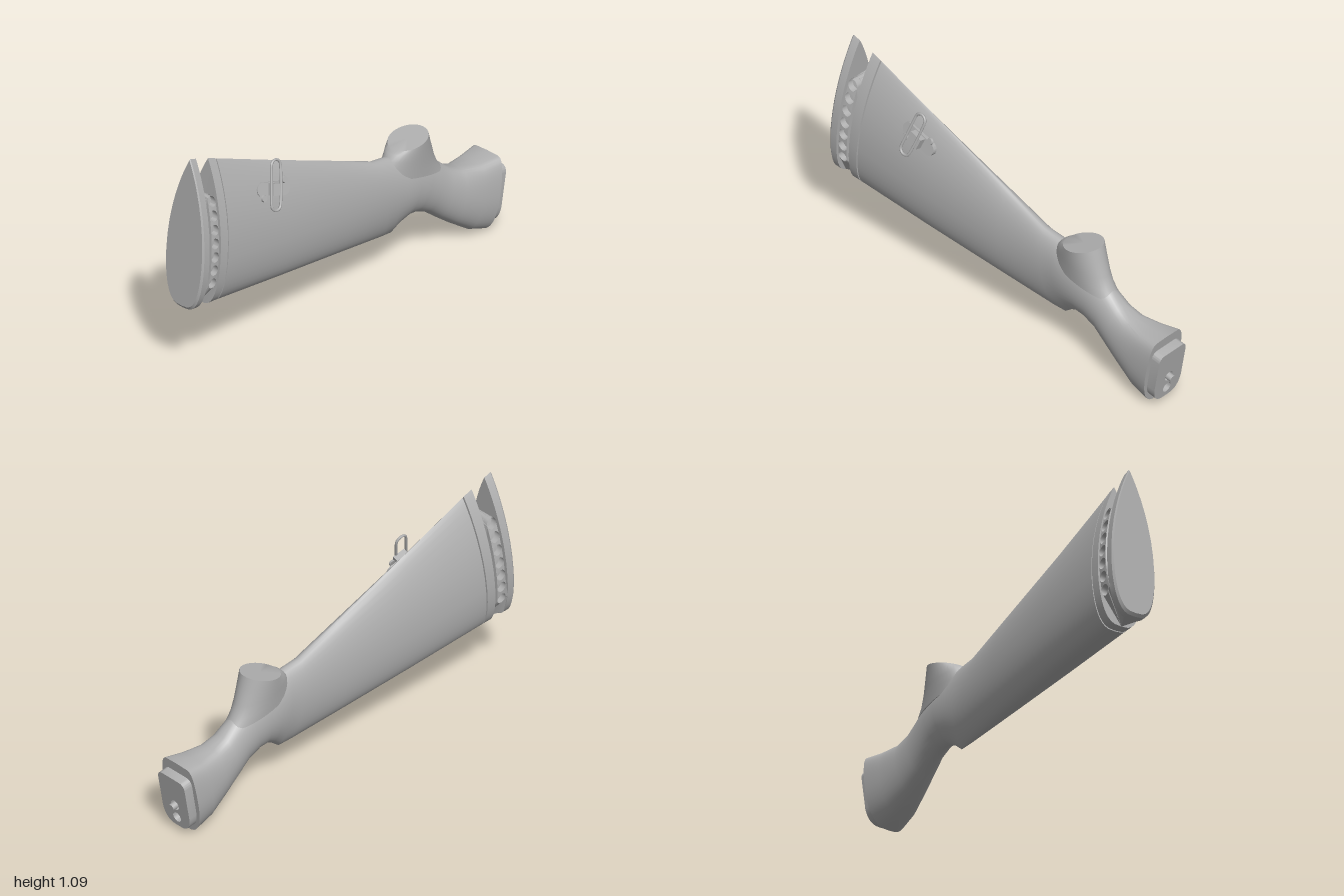
import * as THREE from 'three';
import { toCreasedNormals } from 'three/addons/utils/BufferGeometryUtils.js';

const CX = -0.012; // mid-plane of the stock
const N = 40;      // points around a section
const angle = (i) => -Math.PI / 2 + (i / N) * Math.PI * 2;
const lerp = THREE.MathUtils.lerp;

// Section: [topZ, topY, bottomZ, bottomY, halfWidth, height of widest point 0..1, upper exponent, lower exponent]
function sectionPoint(s, th) {
  const u = Math.sin(th), c = Math.cos(th);
  const t = u >= 0 ? s[5] + (1 - s[5]) * u : s[5] + s[5] * u;
  const x = s[4] * Math.sign(c) * Math.abs(c) ** (u >= 0 ? s[6] : s[7]);
  return new THREE.Vector3(CX + x, lerp(s[3], s[1], t), lerp(s[2], s[0], t));
}
const blend = (a, b, t) => a.map((v, k) => lerp(v, b[k], t));

// Skin between neighbouring sections, with optional flat ends
function loft(sections, capStart, capEnd) {
  const tris = [];
  const rings = sections.map((s) => Array.from({ length: N }, (_, i) => sectionPoint(s, angle(i))));
  for (let r = 0; r + 1 < rings.length; r++) {
    for (let i = 0; i < N; i++) {
      const j = (i + 1) % N, A = rings[r], B = rings[r + 1];
      tris.push(A[i], A[j], B[j], A[i], B[j], B[i]);
    }
  }
  const cap = (ring, s, flip) => {
    const c = new THREE.Vector3(CX, (s[1] + s[3]) / 2, (s[0] + s[2]) / 2);
    for (let i = 0; i < N; i++) {
      const j = (i + 1) % N;
      tris.push(c, ring[flip ? j : i], ring[flip ? i : j]);
    }
  };
  if (capStart) cap(rings[0], sections[0], true);
  if (capEnd) cap(rings.at(-1), sections.at(-1), false);
  return tris;
}
const skin = (tris, crease = 0.6) =>
  toCreasedNormals(new THREE.BufferGeometry().setFromPoints(tris), crease);

// Pad band with a row of round recesses down both sides
function ventBand(s0, s1, a, b) {
  const flat = [], real = [], holes = [], tris = [];
  const mid = blend(s0, s1, 0.54);
  const at = ([th, s]) => sectionPoint(blend(s0, s1, s), th);
  const bow = (th) => 0.06 * (1 - ((th - Math.PI / 2) / Math.PI) ** 2);
  for (let i = 0; i <= N; i++) {
    flat.push(new THREE.Vector2(angle(i), a - bow(angle(i))));
    real.push([angle(i), a]);
  }
  for (let i = N; i >= 0; i--) {
    flat.push(new THREE.Vector2(angle(i), b + bow(angle(i))));
    real.push([angle(i), b]);
  }
  const toAngle = (y) => {
    const ym = lerp(mid[3], mid[1], mid[5]);
    return Math.asin((y - ym) / (y > ym ? mid[1] - ym : ym - mid[3]));
  };
  for (const side of [1, -1]) {
    for (let k = 0; k < 7; k++) {
      const hole = [];
      for (let i = 0; i < 14; i++) {
        const p = (i / 14) * Math.PI * 2;
        const th = toAngle(0.48 + k * 0.066 + 0.026 * Math.cos(p));
        hole.push([side > 0 ? th : Math.PI - th, 0.54 + side * 0.16 * Math.sin(p)]);
      }
      holes.push(hole.map(([x, y]) => new THREE.Vector2(x, y)));
      real.push(...hole);
      // recess wall and floor
      const P = hole.map(at);
      const Q = P.map((p) => p.clone().setX(p.x - side * 0.03));
      const c = Q.reduce((m, q) => m.add(q), new THREE.Vector3()).divideScalar(14);
      for (let i = 0; i < 14; i++) {
        const j = (i + 1) % 14;
        tris.push(P[i], P[j], Q[j], P[i], Q[j], Q[i], c, Q[i], Q[j]);
      }
    }
  }
  for (const f of THREE.ShapeUtils.triangulateShape(flat, holes)) tris.push(...f.map((i) => at(real[i])));
  return tris;
}

// Rounded-end slot outline, lying along x
function slotShape(half, r) {
  const s = new THREE.Shape();
  s.absarc(half, 0, r, -Math.PI / 2, Math.PI / 2);
  s.absarc(-half, 0, r, Math.PI / 2, Math.PI * 1.5);
  return s;
}

export function createModel() {
  const model = new THREE.Group();
  const grey = new THREE.MeshStandardMaterial({ color: 0xb0b0b0 });
  grey.name = 'grey';
  const add = (parent, name, geometry, x = 0, y = 0, z = 0) => {
    const m = new THREE.Mesh(geometry, grey);
    m.name = name;
    m.position.set(x, y, z);
    parent.add(m);
    return m;
  };

  // Grip and butt in one skin
  const seam = [0.775, 1.026, 0.835, 0.333, 0.113, 0.34, 1.9, 0.62];
  add(model, 'stockBody', skin(loft([
    [-0.957, 0.37, -0.895, 0.003, 0.113, 0.5, 0.25, 0.7],
    [-0.86, 0.362, -0.8, 0.037, 0.104, 0.5, 0.35, 0.7],
    [-0.76, 0.37, -0.7, 0.105, 0.09, 0.5, 0.6, 0.8],
    [-0.69, 0.4, -0.62, 0.165, 0.081, 0.5, 0.8, 0.9],
    [-0.63, 0.45, -0.55, 0.22, 0.077, 0.5, 1, 1],
    [-0.57, 0.5, -0.48, 0.25, 0.077, 0.5, 1, 1],
    [-0.48, 0.55, -0.43, 0.252, 0.079, 0.5, 1, 1.1],
    [-0.38, 0.575, -0.385, 0.23, 0.077, 0.52, 1, 1.3],
    [-0.3, 0.595, -0.34, 0.195, 0.07, 0.55, 1, 1.7],
    [-0.22, 0.607, -0.28, 0.2, 0.067, 0.53, 1, 1.3],
    [0, 0.7, 0, 0.235, 0.08, 0.45, 1.2, 0.9],
    [0.4, 0.866, 0.42, 0.285, 0.1, 0.38, 1.6, 0.7],
    seam,
  ], true, true)));

  // Flat-topped post blended into the wrist
  add(model, 'wristPost', skin(loft([
    [-0.66, 0.415, -0.28, 0.5, 0.076, 0.5, 1, 1],
    [-0.62, 0.46, -0.295, 0.545, 0.079, 0.5, 1, 1],
    [-0.592, 0.52, -0.31, 0.578, 0.083, 0.5, 1, 1],
    [-0.566, 0.6, -0.333, 0.603, 0.088, 0.5, 1, 1],
    [-0.547, 0.657, -0.355, 0.617, 0.09, 0.5, 1, 1],
  ], true, true)));

  // Recoil pad
  const padBack = [0.781, 1.03, 0.841, 0.334, 0.114, 0.34, 1.9, 0.62];
  const padRim = [0.942, 1.09, 0.99, 0.346, 0.118, 0.34, 1.9, 0.62];
  const padFace = [0.948, 1.084, 1.0, 0.36, 0.111, 0.34, 1.9, 0.62];
  const a = 0.3, b = 0.78;
  add(model, 'recoilPad', skin([
    ...loft([padBack, blend(padBack, padRim, a)], true, false),
    ...ventBand(padBack, padRim, a, b),
    ...loft([blend(padBack, padRim, b), padRim, padFace], false, true),
  ], 0.5));

  // Mounting plate on the slanted grip end
  const mount = new THREE.Group();
  mount.name = 'mount';
  mount.position.set(CX, 0.18, -0.92);
  mount.quaternion.setFromRotationMatrix(new THREE.Matrix4().makeBasis(
    new THREE.Vector3(-1, 0, 0), new THREE.Vector3(0, 0.985, -0.175), new THREE.Vector3(0, -0.175, -0.985)));
  model.add(mount);
  const plate = new THREE.Shape();
  plate.moveTo(0.06, 0.14);
  plate.lineTo(-0.06, 0.14);
  plate.quadraticCurveTo(-0.088, 0.135, -0.088, 0.1);
  plate.lineTo(-0.088, -0.06);
  plate.quadraticCurveTo(-0.08, -0.14, -0.02, -0.14);
  plate.lineTo(0.02, -0.14);
  plate.quadraticCurveTo(0.08, -0.14, 0.088, -0.06);
  plate.lineTo(0.088, 0.1);
  plate.quadraticCurveTo(0.088, 0.135, 0.06, 0.14);
  for (const y of [-0.02, -0.09]) plate.holes.push(new THREE.Path().absarc(0, y, 0.026, 0, Math.PI * 2));
  add(mount, 'mountPlate', toCreasedNormals(
    new THREE.ExtrudeGeometry(plate, { depth: 0.05, bevelEnabled: false, curveSegments: 10 }), 0.6));
  add(mount, 'mountPin', new THREE.CylinderGeometry(0.017, 0.017, 0.07, 16).rotateX(Math.PI / 2), 0, -0.02, 0.04);

  // Sling swivel, on the left side only
  const swivel = new THREE.Group();
  swivel.name = 'slingSwivel';
  swivel.position.set(0.052, 0.778, 0.485);
  swivel.rotation.z = 0.28;
  model.add(swivel);
  const sideways = (g, tilt) => g.rotateZ(tilt).rotateY(Math.PI / 2);
  const base = slotShape(0.068, 0.032);
  add(swivel, 'swivelBase', toCreasedNormals(sideways(
    new THREE.ExtrudeGeometry(base, { depth: 0.022, bevelEnabled: false, curveSegments: 10 }), -0.3), 0.6), -0.01);
  for (const s of [-1, 1]) {
    add(swivel, 'swivelScrew', new THREE.CylinderGeometry(0.015, 0.017, 0.01, 16).rotateZ(-Math.PI / 2),
      0.016, -s * 0.02, s * 0.07);
  }
  add(swivel, 'swivelBlock', sideways(new THREE.BoxGeometry(0.065, 0.055, 0.045), -0.3), 0.022);
  const loopPath = new THREE.CatmullRomCurve3(
    slotShape(0.088, 0.028).getSpacedPoints(28).slice(0, -1).map((p) => new THREE.Vector3(p.x, p.y, 0)), true);
  add(swivel, 'swivelLoop', sideways(new THREE.TubeGeometry(loopPath, 56, 0.0065, 8, true), Math.PI / 2 - 0.27),
    0.044, 0.025, 0.01);

  return model;
}
